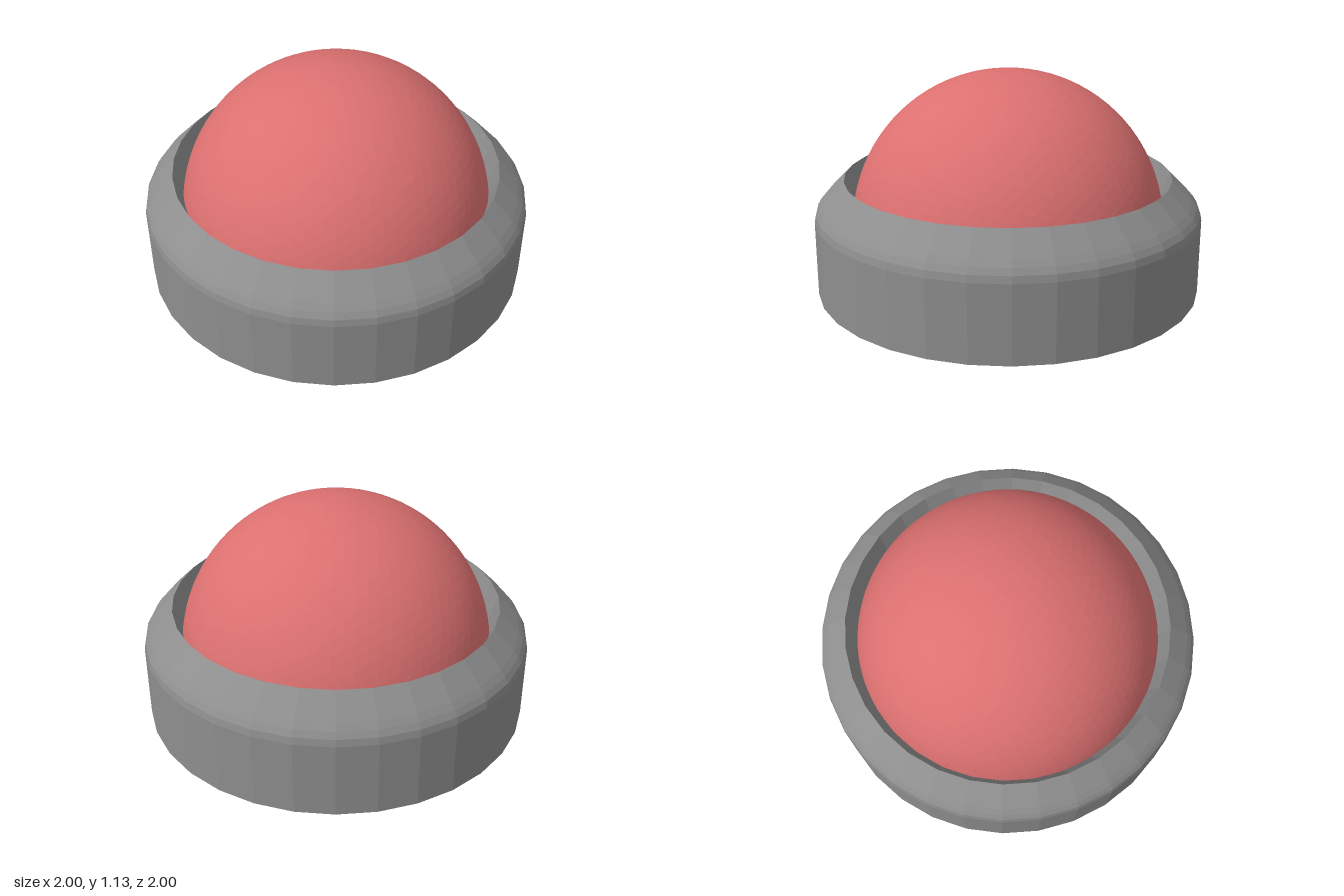
import * as THREE from 'three';

export function createModel() {
  const model = new THREE.Group();
  const gray = new THREE.MeshStandardMaterial({ color: 0x8e8e8e, flatShading: true });
  gray.name = 'gray housing';
  const red = new THREE.MeshStandardMaterial({ color: 0xdc7070, flatShading: true });
  red.name = 'red dome';

  // Housing: closed base, straight wall, rounded shoulder, bevel and inner lip
  const profile = [
    [0, 0], [1, 0], [1, 0.39], [0.993, 0.425], [0.975, 0.455], [0.95, 0.485],
    [0.845, 0.59], [0.8, 0.45], [0.78, 0.3], [0, 0.3],
  ].map(([r, y]) => new THREE.Vector2(r, y));
  const housing = new THREE.Mesh(new THREE.LatheGeometry(profile, 32), gray);
  housing.name = 'housing';
  model.add(housing);

  // Dome: faceted ball, flattened where it sits inside the housing
  const radius = 0.81, centreY = 0.32;
  const ball = new THREE.IcosahedronGeometry(radius, 15);
  const p = ball.attributes.position;
  for (let i = 0; i < p.count; i++) p.setY(i, Math.max(p.getY(i), 0));
  ball.computeVertexNormals();
  const dome = new THREE.Mesh(ball, red);
  dome.name = 'dome';
  dome.position.y = centreY;
  model.add(dome);

  return model;
}
